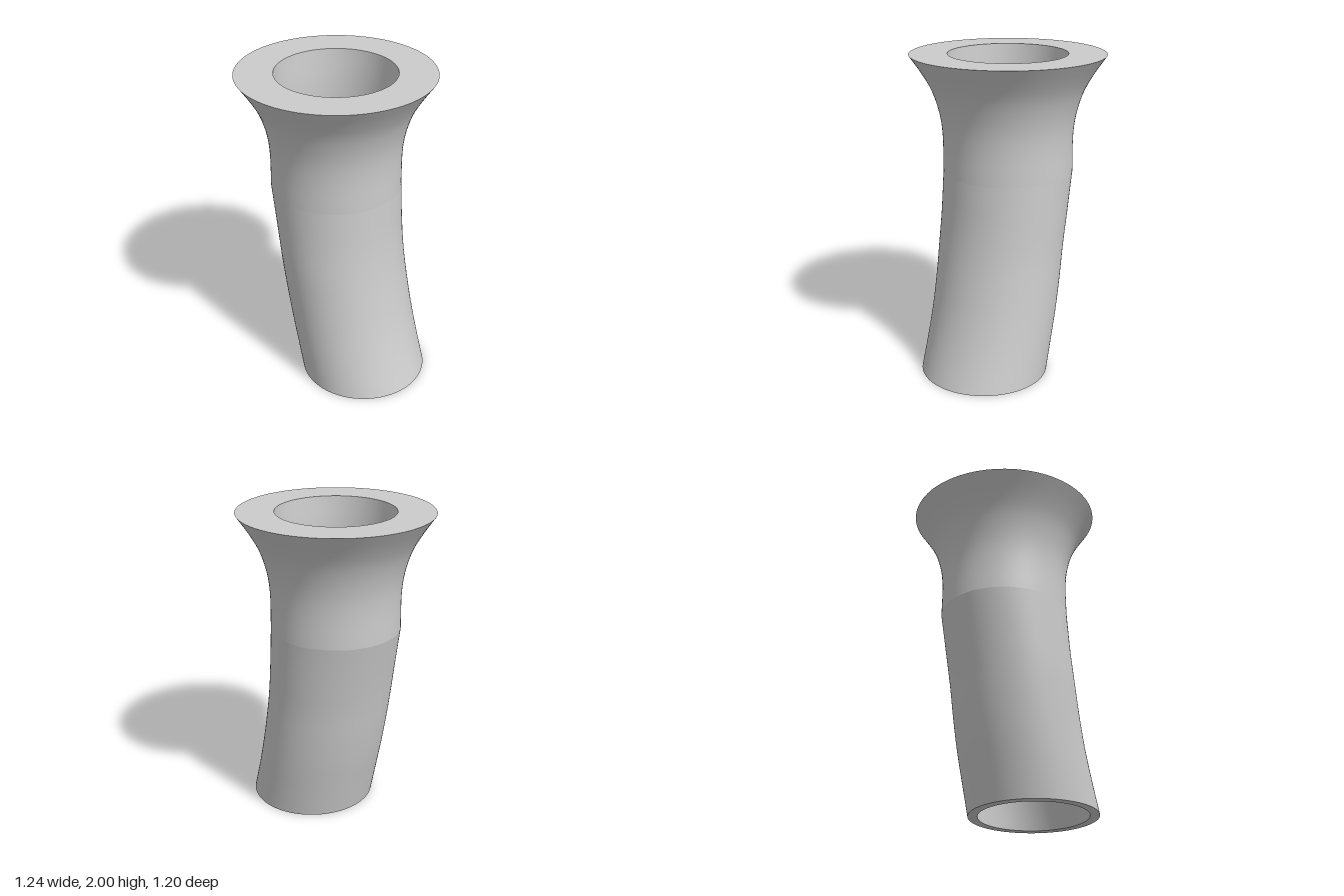
import * as THREE from 'three';

const SEGMENTS = 96;
const BEND = Math.atan2(0.093, 0.24); // heading of the bend in the xz plane

// Level sections, rising: y, centre x, centre z, half width along the bend, half width across it
const BODY = [
  [0, 0.22, 0.093, 0.4, 0.405],
  [0.2, 0.165, 0.072, 0.388, 0.405],
  [0.4, 0.115, 0.053, 0.382, 0.405],
  [0.6, 0.074, 0.04, 0.379, 0.405],
  [0.8, 0.04, 0.03, 0.378, 0.405],
  [1, 0.012, 0.016, 0.385, 0.405],
  [1.27, -0.021, 0, 0.405, 0.405],
];
const round = (y, r) => [y, -0.021, 0, r, r];
const FLARE = [
  [1.27, 0.405], [1.5, 0.405], [1.6, 0.415], [1.7, 0.438], [1.8, 0.475], [1.9, 0.532], [2, 0.6],
].map(([y, r]) => round(y, r));
const MOUTH = [[1.27, 0.345], [1.55, 0.345], [1.8, 0.35], [2, 0.367]].map(([y, r]) => round(y, r));

// Smoothly resample a list of sections
function refine(rows, steps = 24) {
  const curve = new THREE.CubicInterpolant(rows.map((r) => r[0]), rows.flat(), 5);
  const y0 = rows[0][0];
  const y1 = rows[rows.length - 1][0];
  return Array.from({ length: steps + 1 }, (_, i) =>
    Array.from(curve.evaluate(y0 + ((y1 - y0) * i) / steps)));
}

// Skin a list of sections with a closed band
function loft(name, rows) {
  const positions = [];
  const index = [];
  const c = Math.cos(BEND);
  const s = Math.sin(BEND);
  rows.forEach(([y, cx, cz, a, b], i) => {
    for (let j = 0; j < SEGMENTS; j++) {
      const t = (j / SEGMENTS) * Math.PI * 2;
      const u = a * Math.cos(t);
      const v = b * Math.sin(t);
      positions.push(cx + u * c - v * s, y, cz + u * s + v * c);
      if (i === rows.length - 1) continue;
      const k = (j + 1) % SEGMENTS;
      const p = i * SEGMENTS;
      const q = p + SEGMENTS;
      index.push(p + j, q + j, p + k, q + j, q + k, p + k);
    }
  });
  const geometry = new THREE.BufferGeometry();
  geometry.setAttribute('position', new THREE.Float32BufferAttribute(positions, 3));
  geometry.setIndex(index);
  geometry.computeVertexNormals();
  const mesh = new THREE.Mesh(geometry, new THREE.MeshStandardMaterial({ color: 0xcccccc }));
  mesh.name = name;
  return mesh;
}

export function createModel() {
  const group = new THREE.Group();
  group.name = 'flaredBentTube';

  const body = refine(BODY);
  const bore = body.map(([y, x, z, a, b]) => [y, x, z, a - 0.06, b - 0.06]);
  const flare = refine(FLARE);
  const mouth = refine(MOUTH);

  group.add(
    // Outside, rising
    loft('bentTube', body),
    loft('flaredCollar', flare),
    // Flat top rim
    loft('topRim', [flare.at(-1), mouth.at(-1)]),
    // Inside, descending
    loft('mouthBore', [...mouth].reverse()),
    loft('tubeBore', [...bore].reverse()),
    // Flat bottom rim
    loft('bottomRim', [bore[0], body[0]]),
  );
  return group;
}
